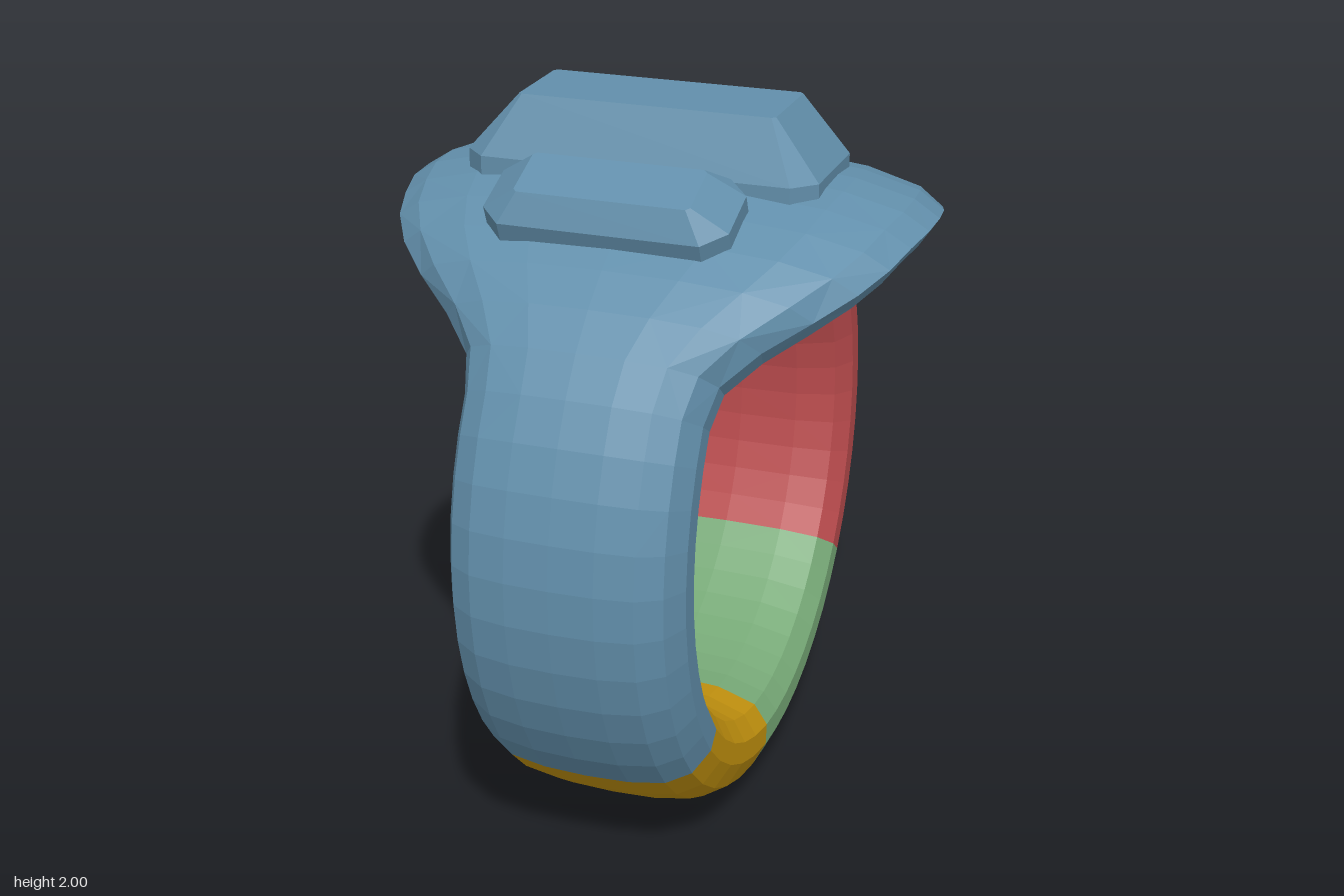
import * as THREE from 'three';
import { ConvexGeometry } from 'three/addons/geometries/ConvexGeometry.js';

const CENTRE_Y = 0.932;
const BLUE = 0x628fab, RED = 0xb84a4c, GREEN = 0x76a876, GOLD = 0xc4930f;

// Half cross-sections [x, radius], from outer middle round the side to inner middle
const BAND = [[0, .93], [.12, .926], [.22, .91], [.285, .87], [.32, .80], [.32, .74], [.28, .685], [.17, .65], [0, .64]];
const PLATE = [[0, .908], [.28, .902], [.5, .88], [.66, .84], [.73, .795], [.7, .75], [.5, .695], [.28, .65], [0, .637]];

// Half width of the ring by angle from the top, in degrees
const WIDTHS = [[0, .73], [7, .725], [14, .70], [22, .67], [30, .60], [39, .48], [47, .355], [54, .32], [181, .32]];

function halfWidth(deg) {
  const a = Math.abs(deg > 180 ? deg - 360 : deg);
  const i = WIDTHS.findIndex((p, k) => k > 0 && a <= p[0]);
  const [a0, w0] = WIDTHS[i - 1], [a1, w1] = WIDTHS[i];
  return w0 + (w1 - w0) * (a - a0) / (a1 - a0);
}

// Closed cross-section at one angle, blended from band to plate
function section(deg) {
  const t = (halfWidth(deg) - .32) / .41;
  const half = BAND.map(([x, r], k) => [x + (PLATE[k][0] - x) * t, r + (PLATE[k][1] - r) * t]);
  const mirrored = half.slice(1, -1).reverse().map(([x, r]) => [-x, r]);
  const a = THREE.MathUtils.degToRad(deg);
  return [...half, ...mirrored].map(([x, r]) => [x, CENTRE_Y + r * Math.cos(a), r * Math.sin(a)]);
}

function material(color) {
  return new THREE.MeshStandardMaterial({ color, flatShading: true });
}

// One coloured stretch of the ring; angles run from the top towards the front
function arc(name, from, to, color) {
  const steps = Math.round((to - from) / 7.5);
  const positions = [], index = [];
  const n = BAND.length * 2 - 2;
  for (let i = 0; i <= steps; i++) {
    positions.push(...section(from + (to - from) * i / steps).flat());
    if (i === steps) break;
    for (let j = 0; j < n; j++) {
      const a = i * n + j, b = i * n + (j + 1) % n, c = a + n, d = b + n;
      if ((i + j) % 2) index.push(a, c, d, a, d, b);
      else index.push(a, c, b, b, c, d);
    }
  }
  const geometry = new THREE.BufferGeometry();
  geometry.setAttribute('position', new THREE.Float32BufferAttribute(positions, 3));
  geometry.setIndex(index);
  geometry.computeVertexNormals();
  const mesh = new THREE.Mesh(geometry, material(color));
  mesh.name = name;
  return mesh;
}

// Rectangle with clipped corners at a given height
function clippedRect(x0, x1, z, clip, y) {
  const points = [];
  for (const s of [-1, 1]) {
    points.push([x0, y, s * (z - clip)], [x0 + clip, y, s * z], [x1 - clip, y, s * z], [x1, y, s * (z - clip)]);
  }
  return points.map(p => new THREE.Vector3(...p));
}

// Bevelled bar stone, turned about the ring centre
function stone(name, base, top, tilt) {
  const points = [
    ...clippedRect(base.x0, base.x1, base.z, .06, .84),
    ...clippedRect(base.x0, base.x1, base.z, .06, base.y),
    ...clippedRect(top.x0, top.x1, top.z, .01, top.y),
  ];
  const mesh = new THREE.Mesh(new ConvexGeometry(points), material(BLUE));
  mesh.name = name;
  mesh.position.y = CENTRE_Y;
  mesh.rotation.x = THREE.MathUtils.degToRad(tilt);
  return mesh;
}

export function createModel() {
  const ring = new THREE.Group();
  ring.name = 'ring';

  // Band and widened plate
  ring.add(
    arc('plateAndFrontBand', -47, 132, BLUE),
    arc('lowerFrontBand', 132, 173, GOLD),
    arc('lowerBackBand', 173, 231, GREEN),
    arc('backBand', 231, 313, RED),
  );

  // Large middle stone and two smaller side stones
  ring.add(stone('middleStone',
    { x0: -.525, x1: .45, z: .205, y: .91 },
    { x0: -.385, x1: .325, z: .13, y: 1.068 }, 0));
  for (const s of [-1, 1]) {
    ring.add(stone(s > 0 ? 'frontStone' : 'backStone',
      { x0: -.365, x1: .3, z: .135, y: .945 },
      { x0: -.27, x1: .205, z: .08, y: 1.012 }, s * 22));
  }
  return ring;
}
